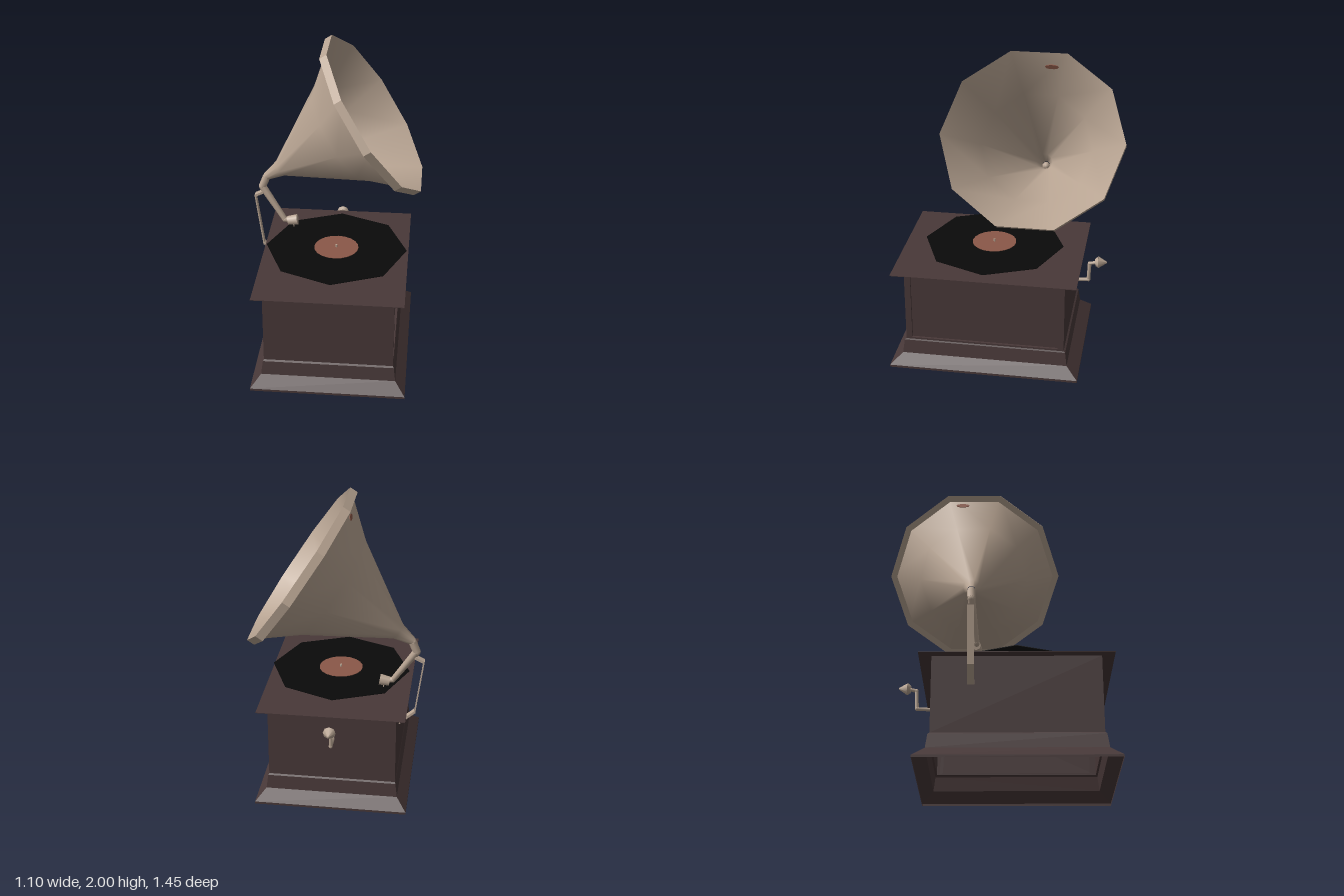
import * as THREE from 'three';
import { toCreasedNormals } from 'three/addons/utils/BufferGeometryUtils.js';

const mat = (name, color, side = THREE.DoubleSide) => {
  const m = new THREE.MeshStandardMaterial({ color, side });
  m.name = name;
  return m;
};
const V = (x, y, z) => new THREE.Vector3(x, y, z);
const UP = V(0, 1, 0);

export function createModel() {
  const root = new THREE.Group();
  const wood = mat('dark wood', 0x483838);
  const brass = mat('pale brass', 0xb9a593);
  const black = mat('black shellac', 0x0a0a0a);
  const red = mat('label red', 0x8a5848);
  const CX = 0.01, CZ = 0.117;

  const add = (name, geo, material, x = 0, y = 0, z = 0, parent = root) => {
    const m = new THREE.Mesh(geo, material);
    m.name = name;
    m.position.set(x, y, z);
    parent.add(m);
    return m;
  };
  // tapered round bar from a to b
  const bar = (name, a, b, ra, rb = ra, sides = 8) => {
    const d = b.clone().sub(a), c = a.clone().add(b).multiplyScalar(0.5);
    const m = add(name, new THREE.CylinderGeometry(rb, ra, d.length(), sides), brass, c.x, c.y, c.z);
    m.quaternion.setFromUnitVectors(UP, d.normalize());
    return m;
  };
  const joint = (name, p, r) => add(name, new THREE.SphereGeometry(r, 8, 6), brass, p.x, p.y, p.z);

  // cabinet: stacked rectangular sections [y, half x, half z], open underneath
  const levels = [[0, 0.488, 0.609], [0.015, 0.488, 0.609], [0.08, 0.425, 0.535],
    [0.17, 0.413, 0.523], [0.178, 0.408, 0.512], [0.665, 0.408, 0.512]];
  const corners = [[1, 1], [1, -1], [-1, -1], [-1, 1]];
  const pos = [];
  for (let i = 0; i < levels.length - 1; i++) {
    for (let s = 0; s < 4; s++) {
      if (i === levels.length - 2 && s === 0) continue; // framed wall goes here
      const at = (l, k) => [corners[k % 4][0] * l[1], l[0], corners[k % 4][1] * l[2]];
      const a = at(levels[i], s), b = at(levels[i], s + 1);
      const c = at(levels[i + 1], s + 1), d = at(levels[i + 1], s);
      pos.push(...a, ...b, ...c, ...a, ...c, ...d);
    }
  }
  const cab = new THREE.BufferGeometry();
  cab.setAttribute('position', new THREE.Float32BufferAttribute(pos, 3));
  cab.computeVertexNormals();
  add('cabinet', cab, wood, CX, 0, CZ);

  // framed side wall with a recessed panel
  const rect = (P, w, y0, y1) => {
    const p = new P();
    p.moveTo(-w, y0); p.lineTo(w, y0); p.lineTo(w, y1); p.lineTo(-w, y1); p.closePath();
    return p;
  };
  const frame = rect(THREE.Shape, 0.512, 0.178, 0.665);
  frame.holes.push(rect(THREE.Path, 0.473, 0.19, 0.645));
  const frameGeo = new THREE.ExtrudeGeometry(frame, { depth: 0.015, bevelEnabled: false });
  add('sideFrame', frameGeo.rotateY(Math.PI / 2), wood, CX + 0.393, 0, CZ);
  add('sidePanel', new THREE.PlaneGeometry(1.02, 0.487).rotateY(Math.PI / 2), wood, CX + 0.393, 0.4215, CZ);

  // overhanging lid, turntable and record
  add('lid', new THREE.BoxGeometry(0.938, 0.004, 1.178), wood, CX, 0.666, CZ);
  add('platter', new THREE.CylinderGeometry(0.337, 0.337, 0.047, 16), brass, CX, 0.6915, CZ);
  add('record', new THREE.CylinderGeometry(0.453, 0.453, 0.004, 8), black, 0.015, 0.717, 0.115);
  add('recordLabel', new THREE.CylinderGeometry(0.143, 0.143, 0.003, 20), red, 0.015, 0.7205, 0.115);
  add('spindle', new THREE.CylinderGeometry(0.007, 0.007, 0.02, 6), brass, 0.015, 0.728, 0.115);

  // ten-sided horn, measured back along its axis from the mouth
  const horn = new THREE.Group();
  horn.name = 'horn';
  horn.position.set(0.245, 1.55, -0.157);
  horn.rotation.z = -0.983;
  root.add(horn);
  const lathe = (pts) => new THREE.LatheGeometry(pts.map(([r, y]) => new THREE.Vector2(r, y)), 10);
  add('hornBell', lathe([[0.025, -0.863], [0.055, -0.748], [0.353, -0.263], [0.568, 0]]), brass, 0, 0, 0, horn);
  add('hornRim', toCreasedNormals(lathe([[0.527, -0.053], [0.568, -0.053], [0.568, 0]]), 0.5), brass, 0, 0, 0, horn);

  // small red spot showing on both faces of the bell
  const spot = add('hornSpot', new THREE.CylinderGeometry(0.016, 0.016, 0.009, 10), red, -0.087, 1.9, -0.232);
  spot.scale.z = 2.7;
  spot.quaternion.setFromUnitVectors(UP, V(-0.945, 0.327, 0).normalize());

  // neck and tone arm
  const n0 = V(-0.47, 1.068, -0.157), n1 = V(-0.498, 1.0, -0.155), n2 = V(-0.35, 0.775, -0.125);
  const n3 = V(-0.3, 0.77, -0.125);
  bar('neck', n0, n1, 0.026, 0.025);
  bar('toneArm', n1, n2, 0.025, 0.018);
  bar('toneArmEnd', n2, n3, 0.018);
  [[n0, 0.026], [n1, 0.025], [n2, 0.019]].forEach(([p, r]) => joint('armJoint', p, r));
  bar('soundBox', V(-0.33, 0.765, -0.13), V(-0.266, 0.775, -0.13), 0.03, 0.037);
  bar('needle', V(-0.295, 0.75, -0.13), V(-0.29, 0.72, -0.13), 0.006, 0.003, 5);

  // flat bracket holding the arm against the cabinet
  const path = [[-0.49, 0.962], [-0.546, 0.935], [-0.498, 0.575], [-0.395, 0.485]];
  for (let i = 0; i < 3; i++) {
    const [x0, y0] = path[i], [x1, y1] = path[i + 1];
    const strip = new THREE.BoxGeometry(Math.hypot(x1 - x0, y1 - y0), i === 1 ? 0.009 : 0.015, 0.042);
    add('bracket', strip, brass, (x0 + x1) / 2, (y0 + y1) / 2, -0.157).rotation.z = Math.atan2(y1 - y0, x1 - x0);
  }

  // winding crank on the back
  const c = [V(0, 0.472, -0.385), V(0, 0.48, -0.505), V(0, 0.6, -0.51), V(0, 0.612, -0.56)];
  for (let i = 0; i < 3; i++) bar('crank', c[i], c[i + 1], 0.012, 0.012, 6);
  joint('crankElbow', c[1], 0.013);
  joint('crankElbow', c[2], 0.013);
  bar('crankKnobBack', V(0, 0.611, -0.548), V(0, 0.613, -0.568), 0.026, 0.04, 8);
  bar('crankKnob', V(0, 0.613, -0.568), V(0, 0.616, -0.622), 0.04, 0.005, 8);

  return root;
}
